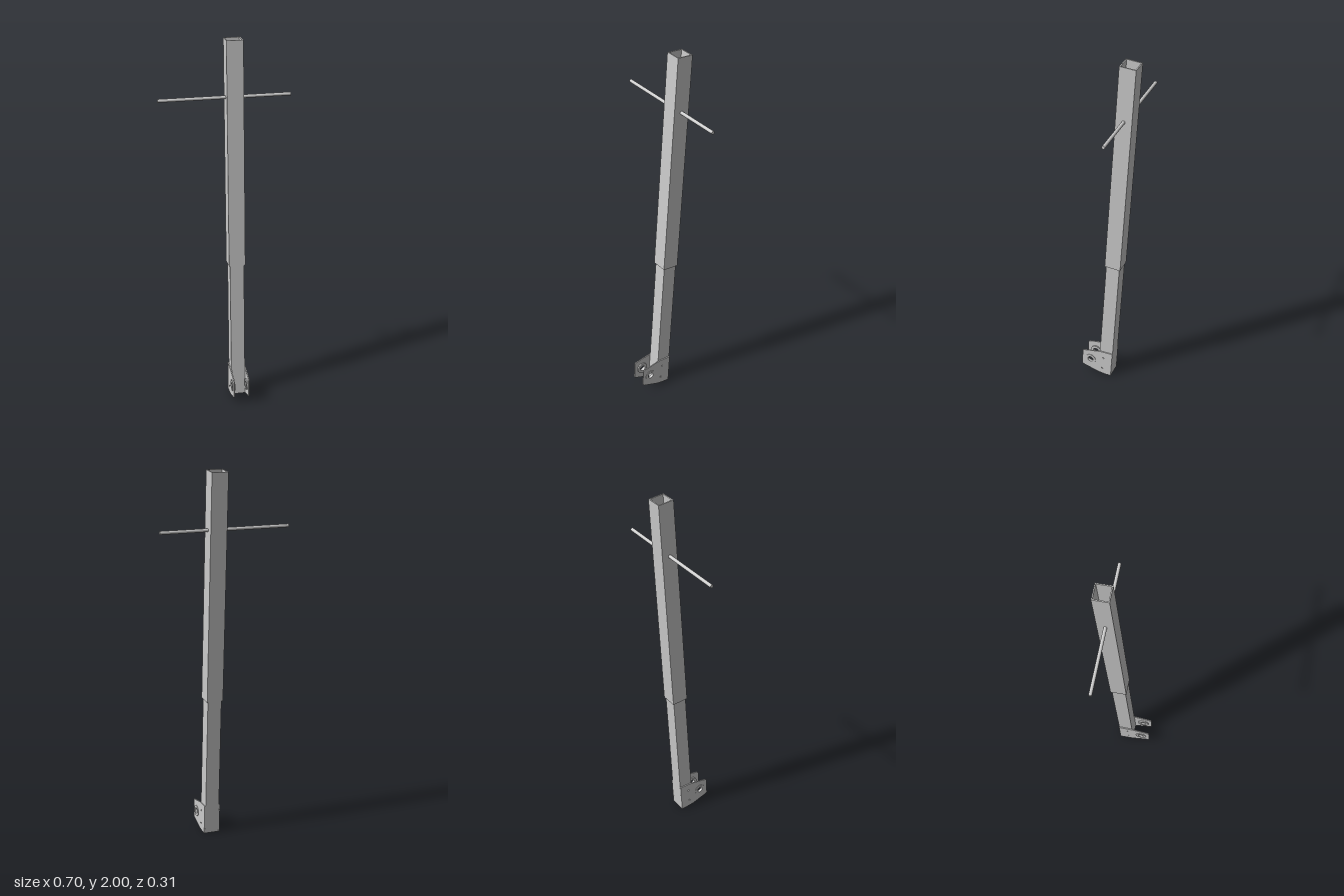
import * as THREE from 'three';

const CX = 0.0495;     // tube centre line in x
const LEAN = -0.0655;  // backward lean of the post

const mat = new THREE.MeshStandardMaterial({ color: 0xcccccc });

function add(parent, name, geometry) {
  const mesh = new THREE.Mesh(geometry, mat);
  mesh.name = name;
  parent.add(mesh);
  return mesh;
}

// Hollow square tube standing on the y axis
function squareTube(width, wall, y0, y1) {
  const square = (h, Type) => new Type([[-h, -h], [h, -h], [h, h], [-h, h]].map(([x, y]) => new THREE.Vector2(x, y)));
  const shape = square(width / 2, THREE.Shape);
  shape.holes.push(square(width / 2 - wall, THREE.Path));
  return new THREE.ExtrudeGeometry(shape, { depth: y1 - y0, bevelEnabled: false })
    .rotateX(-Math.PI / 2).translate(0, y0, 0);
}

// Plate cut from a side profile of (z, y) points, centred on its thickness
function sidePlate(points, holes, thickness) {
  const shape = new THREE.Shape(points.map(([z, y]) => new THREE.Vector2(z, y)));
  for (const [z, y, r] of holes) shape.holes.push(new THREE.Path().absarc(z, y, r, 0, Math.PI * 2, true));
  return new THREE.ExtrudeGeometry(shape, { depth: thickness, bevelEnabled: false, curveSegments: 16 })
    .translate(0, 0, -thickness / 2).rotateY(-Math.PI / 2);
}

export function createModel() {
  const model = new THREE.Group();
  model.name = 'telescopicPost';

  // Leaning telescopic post
  const post = new THREE.Group();
  post.name = 'post';
  post.position.set(CX, 0.0025, 0.0205);
  post.rotation.x = LEAN;
  model.add(post);
  add(post, 'outerTube', squareTube(0.089, 0.006, 0.77, 1.999));
  add(post, 'innerTube', squareTube(0.0765, 0.006, 0, 0.95));

  // Cross rod through the outer tube
  const rod = add(post, 'crossRod', new THREE.CylinderGeometry(0.009, 0.009, 0.704, 24).rotateZ(Math.PI / 2));
  rod.position.set(-CX, 1.695, 0);

  // Mounting plates and bushings on both sides of the foot
  const profile = [
    [-0.018, 0], [0.02, 0.002], [0.057, 0.007], [0.149, 0.036], [0.156, 0.043],
    [0.153, 0.135], [0.147, 0.142], [0.045, 0.161], [-0.028, 0.161],
  ];
  const holes = [[0.105, 0.088, 0.03], [0.025, 0.118, 0.005], [0.033, 0.042, 0.005]];
  const ring = [[0.016, -0.008], [0.031, -0.008], [0.031, 0.008], [0.016, 0.008], [0.016, -0.008]];
  for (const side of [1, -1]) {
    const label = side > 0 ? 'left' : 'right';
    const plate = add(model, label + 'MountingPlate', sidePlate(profile, holes, 0.006));
    plate.position.x = CX + side * 0.0414;

    // Each ring edge is lathed separately to keep its corners sharp
    const bushing = new THREE.Group();
    bushing.name = label + 'Bushing';
    bushing.position.set(CX + side * 0.0395, 0.088, 0.105);
    for (let i = 0; i < 4; i++) {
      const edge = [ring[i], ring[i + 1]].map(([r, y]) => new THREE.Vector2(r, y));
      add(bushing, 'bushingFace', new THREE.LatheGeometry(edge, 32).rotateZ(Math.PI / 2));
    }
    model.add(bushing);
  }
  return model;
}
